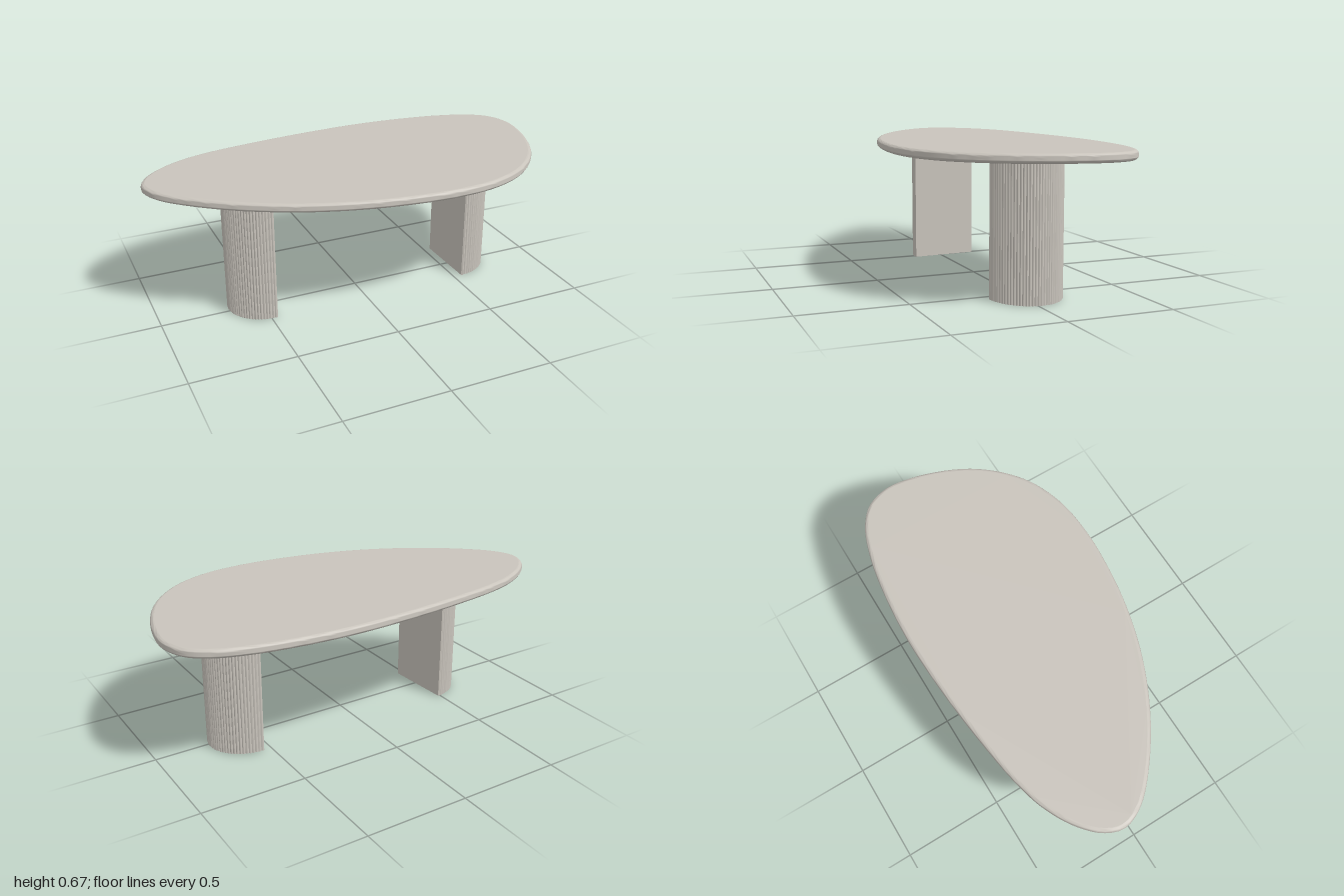
import * as THREE from 'three';
import { toCreasedNormals } from 'three/addons/utils/BufferGeometryUtils.js';

const TOP_Y = 0.67, THICK = 0.042, ROUND = 0.019;

// Outline of the table top, as x and z
const OUTLINE = [
  [-1, -0.13], [-0.97, -0.22], [-0.88, -0.31], [-0.75, -0.382], [-0.6, -0.427], [-0.3, -0.473],
  [0, -0.5], [0.25, -0.507], [0.5, -0.489], [0.7, -0.455], [0.86, -0.4], [0.955, -0.325],
  [0.997, -0.21], [0.985, -0.08], [0.94, 0.07], [0.87, 0.21], [0.77, 0.33], [0.65, 0.42],
  [0.48, 0.483], [0.28, 0.502], [0.08, 0.488], [-0.15, 0.447], [-0.4, 0.367], [-0.65, 0.24],
  [-0.85, 0.092], [-0.96, -0.025],
];

// Rounded slab with flat faces above and below
function slabGeometry() {
  const curve = new THREE.CatmullRomCurve3(
    OUTLINE.map(([x, z]) => new THREE.Vector3(x, z, 0)), true, 'centripetal');
  const points = curve.getSpacedPoints(160).slice(0, -1).map(p => new THREE.Vector2(p.x, p.y));
  const geo = toCreasedNormals(new THREE.ExtrudeGeometry(new THREE.Shape(points), {
    depth: THICK - 2 * ROUND, bevelEnabled: true, bevelThickness: ROUND,
    bevelSize: ROUND, bevelOffset: -ROUND, bevelSegments: 7,
  }), 0.7);
  // Keep the two large faces perfectly flat in shading
  const normal = geo.attributes.normal, pos = geo.attributes.position;
  const lids = geo.groups[0];
  for (let i = lids.start; i < lids.start + lids.count; i++) {
    normal.setXYZ(i, 0, 0, pos.getZ(i) > 0 ? 1 : -1);
  }
  geo.clearGroups();
  geo.rotateX(Math.PI / 2);
  geo.translate(0, TOP_Y - ROUND, 0);
  return geo;
}

// Half-oval column: flat on x = 0, reeded curve towards +x
function legGeometry(depth, halfWidth) {
  const reeds = 40, steps = 6, relief = 0.004, points = [];
  for (let i = 0; i <= reeds * steps; i++) {
    const a = -Math.PI / 2 + (Math.PI * i) / (reeds * steps);
    const groove = relief * (1 - Math.abs(Math.sin((Math.PI * i) / steps)));
    points.push(new THREE.Vector2((depth - groove) * Math.cos(a), (halfWidth - groove) * Math.sin(a)));
  }
  const height = TOP_Y - THICK + 0.002;
  const geo = toCreasedNormals(new THREE.ExtrudeGeometry(new THREE.Shape(points), {
    depth: height, bevelEnabled: false,
  }), 0.6);
  geo.clearGroups();
  geo.rotateX(Math.PI / 2);
  geo.translate(0, height, 0);
  return geo;
}

export function createModel() {
  const model = new THREE.Group();
  model.name = 'table';
  const stone = new THREE.MeshStandardMaterial({ color: 0xc9c4bc });
  stone.name = 'warm grey';

  const top = new THREE.Mesh(slabGeometry(), stone);
  top.name = 'tableTop';
  model.add(top);

  // Two legs with their flat sides facing each other
  const legs = [
    ['leftLeg', 0.54, 0.198, 0.02],
    ['rightLeg', -0.479, 0.187, Math.PI + 0.062],
  ];
  for (const [name, x, depth, turn] of legs) {
    const leg = new THREE.Mesh(legGeometry(depth, 0.17), stone);
    leg.name = name;
    leg.position.set(x, 0, -0.02);
    leg.rotation.y = turn;
    model.add(leg);
  }
  return model;
}
